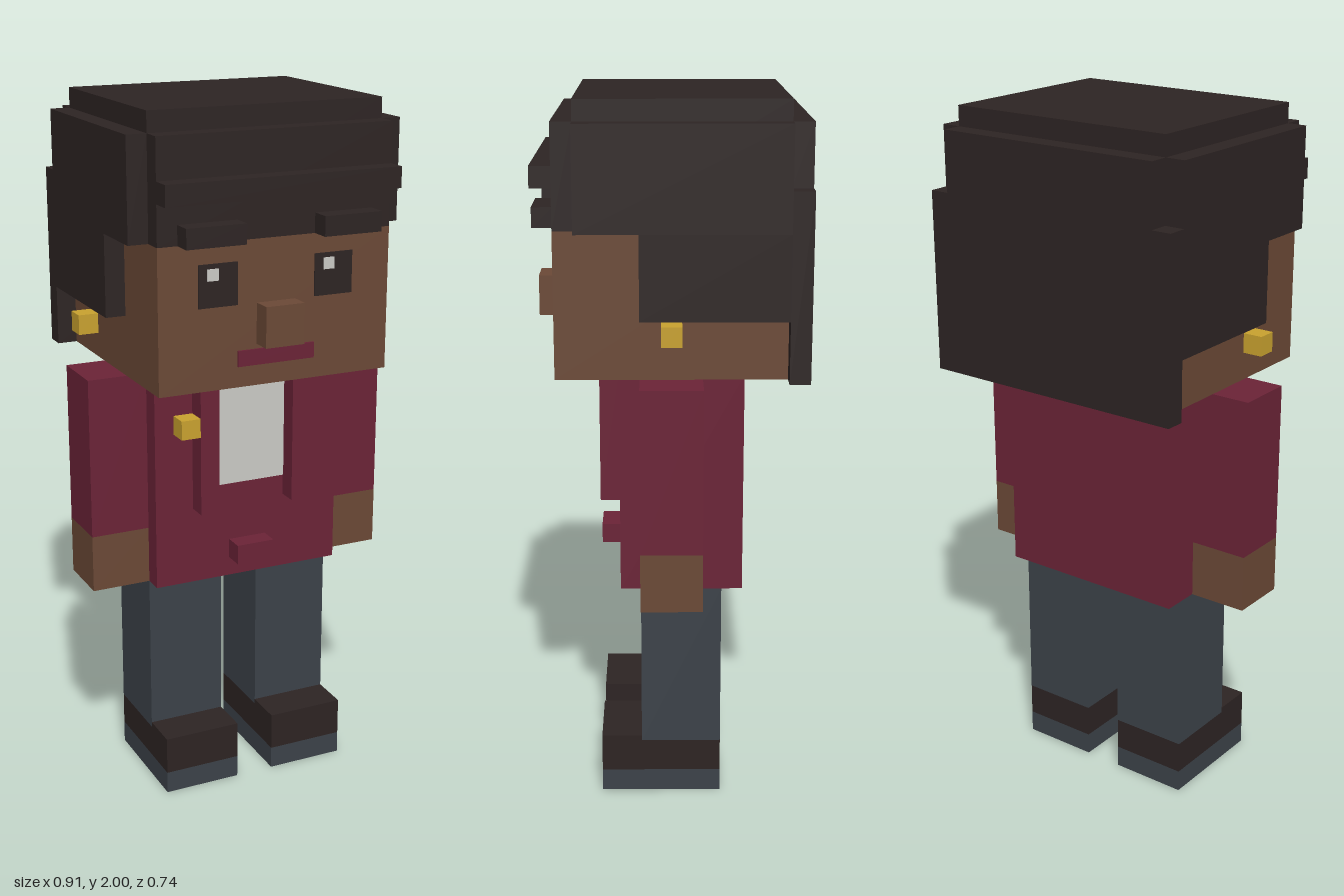
import * as THREE from 'three';

const material = (name, color) => {
  const m = new THREE.MeshStandardMaterial({ color });
  m.name = name;
  return m;
};

export function createModel() {
  const hair = material('dark brown', 0x2d2423);
  const skin = material('skin brown', 0x6b4936);
  const red = material('burgundy', 0x6b2337);
  const grey = material('slate grey', 0x3c4249);
  const white = material('off white', 0xcbcac6);
  const gold = material('gold', 0xc9a22f);

  const model = new THREE.Group();
  model.name = 'blockFigure';

  // Box given by its limits on each axis
  const block = (name, mat, [x0, x1], [y0, y1], [z0, z1]) => {
    const mesh = new THREE.Mesh(new THREE.BoxGeometry(x1 - x0, y1 - y0, z1 - z0), mat);
    mesh.position.set((x0 + x1) / 2, (y0 + y1) / 2, (z0 + z1) / 2);
    mesh.name = name;
    model.add(mesh);
  };
  // The same box on both sides of the figure
  const pair = (name, mat, [x0, x1], y, z) => {
    block(name + 'Left', mat, [x0, x1], y, z);
    block(name + 'Right', mat, [-x1, -x0], y, z);
  };

  // Legs and shoes
  const legX = [0.057, 0.285];
  pair('trouserLeg', grey, legX, [0.16, 0.635], [-0.142, 0.085]);
  pair('shoeHeel', hair, legX, [0.065, 0.16], [-0.142, 0.085]);
  pair('shoeToe', hair, legX, [0.065, 0.175], [0.085, 0.2]);
  pair('shoeSole', grey, legX, [0, 0.065], [-0.142, 0.2]);

  // Jacket
  block('jacket', red, [-0.285, 0.285], [0.635, 1.26], [-0.2, 0.142]);
  block('shirt', white, [-0.114, 0.114], [0.92, 1.26], [0.14, 0.146]);
  pair('lapel', red, [0.114, 0.171], [0.86, 1.26], [0.142, 0.2]);
  block('jacketButton', red, [-0.057, 0.057], [0.69, 0.747], [0.142, 0.2]);
  block('lapelPin', gold, [-0.228, -0.171], [1.09, 1.145], [0.142, 0.199]);

  // Arms
  pair('sleeve', red, [0.285, 0.456], [0.8, 1.26], [-0.085, 0.085]);
  pair('hand', skin, [0.285, 0.456], [0.635, 0.8], [-0.085, 0.085]);

  // Head and face
  block('head', skin, [-0.342, 0.342], [1.26, 1.66], [-0.313, 0.313]);
  block('nose', skin, [-0.057, 0.057], [1.375, 1.488], [0.313, 0.37]);
  block('mouth', red, [-0.114, 0.114], [1.318, 1.362], [0.311, 0.319]);
  pair('eye', hair, [0.114, 0.228], [1.488, 1.605], [0.311, 0.316]);
  for (const [side, x] of [['Left', 0.14], ['Right', -0.203]])
    block('eyeGlint' + side, white, [x, x + 0.032], [1.56, 1.592], [0.314, 0.319]);
  pair('eyebrow', hair, [0.114, 0.285], [1.66, 1.715], [0.313, 0.37]);
  pair('earring', gold, [0.4, 0.456], [1.375, 1.43], [-0.028, 0.028]);

  // Hair
  block('hairCrown', hair, [-0.342, 0.342], [1.66, 2], [-0.313, 0.256]);
  block('hairFringe', hair, [-0.342, 0.342], [1.66, 1.943], [0.256, 0.313]);
  block('hairBand', hair, [-0.342, 0.342], [1.772, 1.83], [0.313, 0.37]);
  pair('hairSideUpper', hair, [0.342, 0.399], [1.66, 1.943], [-0.313, 0.256]);
  pair('hairSideLower', hair, [0.342, 0.399], [1.43, 1.66], [-0.313, 0.085]);
  block('hairBackUpper', hair, [-0.342, 0.342], [1.772, 1.943], [-0.37, -0.313]);
  block('hairBackLower', hair, [-0.399, 0.399], [1.26, 1.772], [-0.37, -0.313]);

  return model;
}
